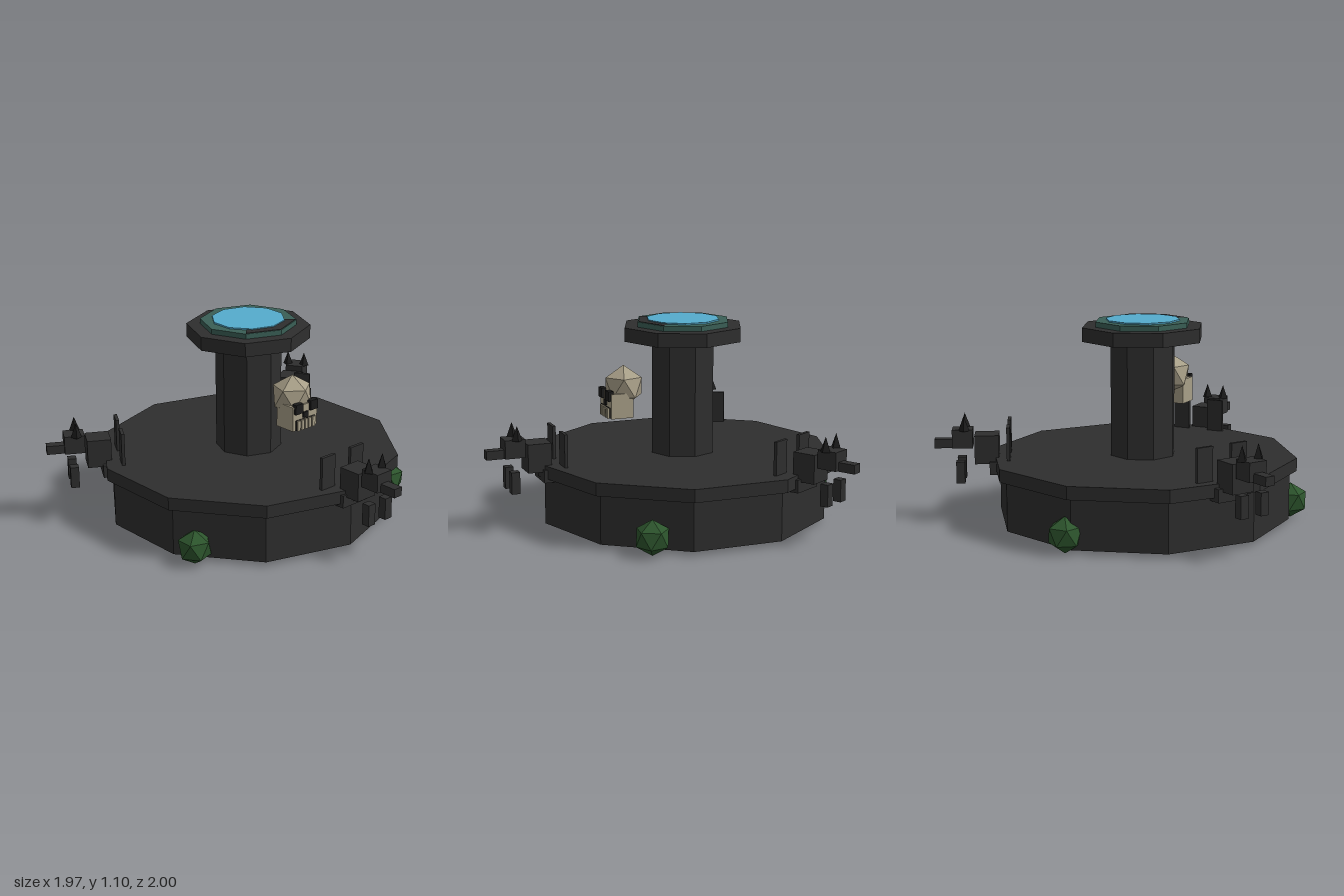
import * as THREE from 'three';

const mat = (name, color) => {
  const m = new THREE.MeshStandardMaterial({ color, flatShading: true });
  m.name = name;
  return m;
};

export function createModel() {
  const stone = mat('dark stone', 0x2e2e2e);
  const black = mat('black stone', 0x1b1b1b);
  const bone = mat('bone', 0xa89f88);
  const moss = mat('moss green', 0x2d552d);
  const patina = mat('patina', 0x3a5f56);
  const water = mat('water', 0x55accd);

  const model = new THREE.Group();
  model.name = 'fountain';
  const fountain = new THREE.Group();
  fountain.name = 'fountainBody';
  fountain.position.z = -0.12; // axis of the basin
  model.add(fountain);

  const add = (parent, name, geo, material, x = 0, y = 0, z = 0) => {
    const mesh = new THREE.Mesh(geo, material);
    mesh.name = name;
    mesh.position.set(x, y, z);
    parent.add(mesh);
    return mesh;
  };
  // Box given by its extents
  const box = (parent, name, material, [x0, x1], [y0, y1], [z0, z1]) =>
    add(parent, name, new THREE.BoxGeometry(x1 - x0, y1 - y0, z1 - z0), material,
      (x0 + x1) / 2, (y0 + y1) / 2, (z0 + z1) / 2);
  // Upright prism on the fountain axis
  const prism = (name, material, r, y0, y1, sides) =>
    add(fountain, name, new THREE.CylinderGeometry(r, r, y1 - y0, sides), material, 0, (y0 + y1) / 2, 0);
  // Icosahedron with one corner pointing up and an upper corner facing +z
  const gem = (r) => new THREE.IcosahedronGeometry(r, 0)
    .rotateZ(-Math.atan(2 / (1 + Math.sqrt(5)))).rotateY(-Math.PI / 2);

  // Basin, column and upper bowl
  prism('basin', stone, 0.797, 0.022, 0.29, 10);
  prism('basinRim', stone, 0.835, 0.29, 0.36, 10);
  prism('column', stone, 0.18, 0.36, 0.985, 8);
  prism('bowl', stone, 0.336, 0.985, 1.06, 8);
  prism('bowlLining', patina, 0.262, 1.06, 1.088, 8);
  prism('water', water, 0.2, 1.085, 1.096, 10);
  // Dark overflow lip on the front of the bowl
  add(fountain, 'overflowLip',
    new THREE.CylinderGeometry(0.257, 0.257, 0.004, 2, 1, false, -Math.PI / 4, Math.PI / 2),
    stone, 0, 1.089, 0);

  // Three gargoyle spouts round the rim
  for (let i = 0; i < 3; i++) {
    const g = new THREE.Group();
    g.name = 'gargoyle';
    g.rotation.y = i * Math.PI * 2 / 3;
    fountain.add(g);
    box(g, 'bracket', stone, [-0.09, 0.09], [0.27, 0.34], [0.72, 0.825]);
    box(g, 'body', stone, [-0.065, 0.065], [0.325, 0.48], [0.775, 0.905]);
    box(g, 'head', stone, [-0.052, 0.052], [0.41, 0.51], [0.915, 1.025]);
    box(g, 'snout', stone, [-0.027, 0.027], [0.407, 0.455], [1.0, 1.12]);
    for (const s of [-1, 1]) {
      add(g, 'horn', new THREE.ConeGeometry(0.03, 0.08, 4), black, s * 0.05, 0.545, 0.96);
      add(g, 'wing', new THREE.BoxGeometry(0.095, 0.18, 0.018), stone, s * 0.105, 0.45, 0.722);
      add(g, 'paw', new THREE.BoxGeometry(0.048, 0.118, 0.046), stone, s * 0.062, 0.284, 0.98);
    }
  }

  // Moss clumps against the basin foot
  for (const [x, z, turn] of [[-0.717, 0.25, 0.3], [0.675, 0.32, 0.5], [0.037, -0.912, 0]]) {
    add(model, 'mossClump', gem(0.096), moss, x, 0.096, z).rotation.y = turn;
  }

  // Skull in front of the column
  const skull = new THREE.Group();
  skull.name = 'skull';
  model.add(skull);
  add(skull, 'cranium', gem(0.115), bone, 0, 0.745, 0.225);
  box(skull, 'jaw', bone, [-0.088, 0.088], [0.585, 0.72], [0.2, 0.325]);
  box(skull, 'mouth', black, [-0.07, 0.07], [0.586, 0.643], [0.322, 0.329]);
  box(skull, 'nose', black, [-0.018, 0.018], [0.65, 0.68], [0.322, 0.334]);
  for (const s of [-1, 1]) {
    add(skull, 'eyeSocket', new THREE.BoxGeometry(0.052, 0.054, 0.03), black, s * 0.054, 0.708, 0.325);
  }
  for (let i = -2; i <= 2; i++) {
    add(skull, 'tooth', new THREE.BoxGeometry(0.019, 0.056, 0.016), bone, i * 0.027, 0.613, 0.331);
  }
  return model;
}
